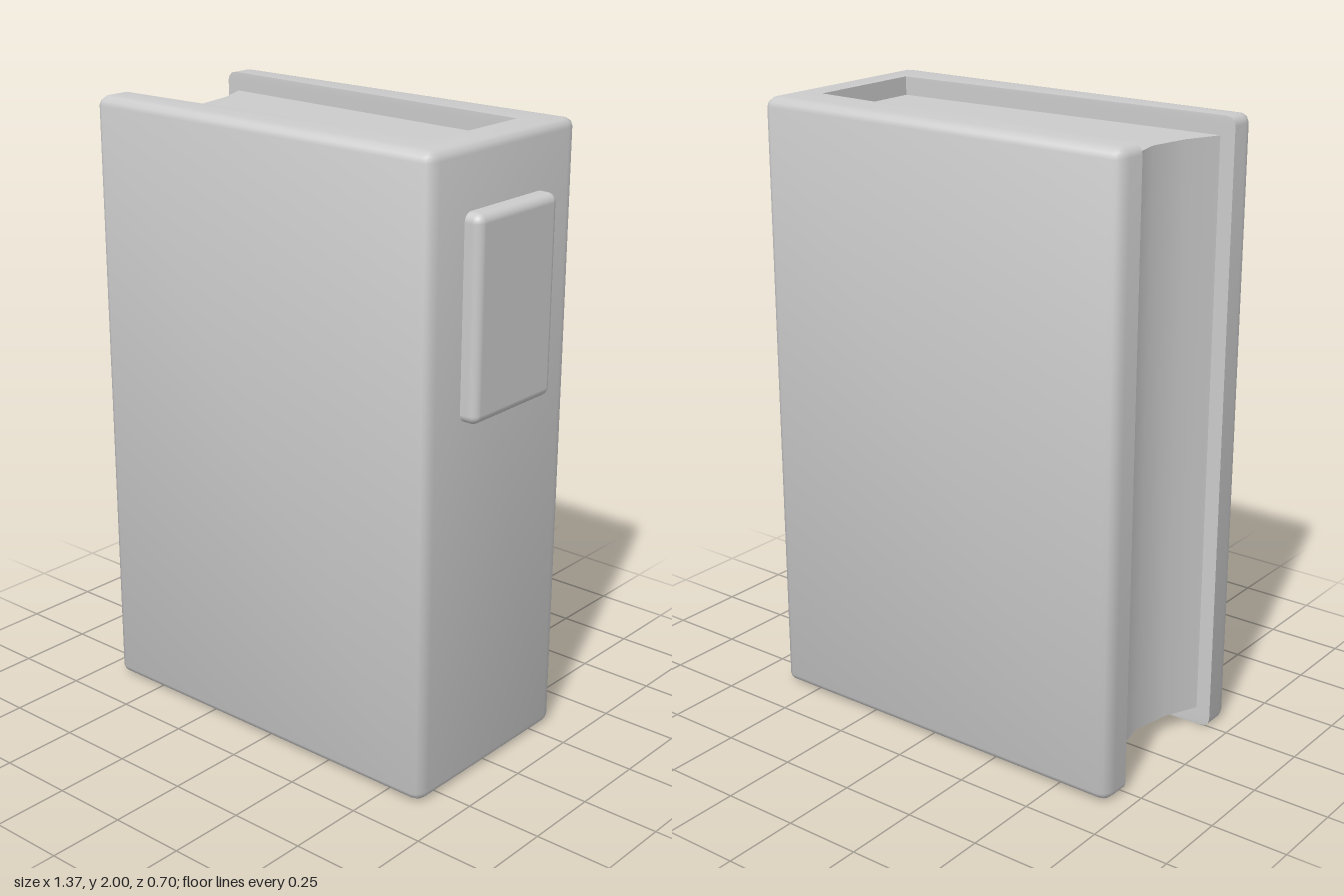
import * as THREE from 'three';
import { toCreasedNormals } from 'three/addons/utils/BufferGeometryUtils.js';
import { RoundedBoxGeometry } from 'three/addons/geometries/RoundedBoxGeometry.js';

const HEIGHT = 2, LEFT = -0.688, RIGHT = 0.632, HALF = 0.352; // cover extents
const RX = 0.032, RY = 0.03, RZ = 0.048;                       // edge rounding per axis
const SEG = 3;                                                  // segments per rounded edge
const MOUTH = 0.245, THROAT = 0.2, SPINE_X = 0.52;              // cavity between the boards
const RECESS = 0.06;                                            // pages sit below the cover edge

// Extrude a plan outline (x, z) upwards
function extrudeUp(points, depth, steps = 1) {
  const shape = new THREE.Shape(points.map(([x, z]) => new THREE.Vector2(x, z)));
  return new THREE.ExtrudeGeometry(shape, { depth, steps, bevelEnabled: false }).rotateX(-Math.PI / 2);
}

// Quarter-ellipse corner of the plan outline
function corner(x, z, from) {
  return Array.from({ length: SEG + 1 }, (_, i) => {
    const a = from + (i / SEG) * Math.PI / 2;
    return [x + RX * Math.cos(a), z + RZ * Math.sin(a)];
  });
}

// U-shaped cover: two boards and spine, outer edges rounded at top and bottom
function coverGeometry() {
  const x0 = LEFT + RX, x1 = RIGHT - RX, z1 = HALF - RZ;
  const outline = [
    [LEFT, -MOUTH],
    ...corner(x0, -z1, Math.PI),
    ...corner(x1, -z1, Math.PI * 1.5),
    ...corner(x1, z1, 0),
    ...corner(x0, z1, Math.PI / 2),
    [LEFT, MOUTH], [SPINE_X, THROAT], [SPINE_X, -THROAT],
  ];
  const steps = SEG * 2 + 1;
  const geo = extrudeUp(outline, 1, steps);
  const pos = geo.attributes.position;
  for (let i = 0; i < pos.count; i++) {
    // Each level pulls the rim in towards the core box along an ellipse
    const k = Math.round(pos.getY(i) * steps);
    const a = (Math.min(k, steps - k) / SEG) * Math.PI / 2;
    const rise = RY * (1 - Math.cos(a)), s = Math.sin(a);
    const x = pos.getX(i), z = pos.getZ(i);
    const cx = THREE.MathUtils.clamp(x, x0, x1), cz = THREE.MathUtils.clamp(z, -z1, z1);
    pos.setXYZ(i, cx + (x - cx) * s, k <= SEG ? rise : HEIGHT - rise, cz + (z - cz) * s);
  }
  return toCreasedNormals(geo, 0.7);
}

// Page block with a hollow fore edge
function pagesGeometry() {
  const outline = [
    [-0.64, MOUTH - 0.002], [-0.59, 0.13], [-0.565, 0], [-0.59, -0.13], [-0.64, -MOUTH + 0.002],
    [SPINE_X, -THROAT], [SPINE_X, THROAT],
  ];
  const geo = extrudeUp(outline, HEIGHT - 2 * RECESS).translate(0, RECESS, 0);
  return toCreasedNormals(geo, 0.5);
}

export function createModel() {
  const group = new THREE.Group();
  group.name = 'book';
  const material = new THREE.MeshStandardMaterial({ color: 0xcccccc });
  const add = (name, geometry) => {
    const mesh = new THREE.Mesh(geometry, material);
    mesh.name = name;
    group.add(mesh);
    return mesh;
  };

  add('cover', coverGeometry());
  add('pages', pagesGeometry());

  // Raised panel on the spine
  add('spinePanel', new RoundedBoxGeometry(0.12, 0.62, 0.38, 3, 0.028)).position.set(0.626, 1.5, 0);

  return group;
}
